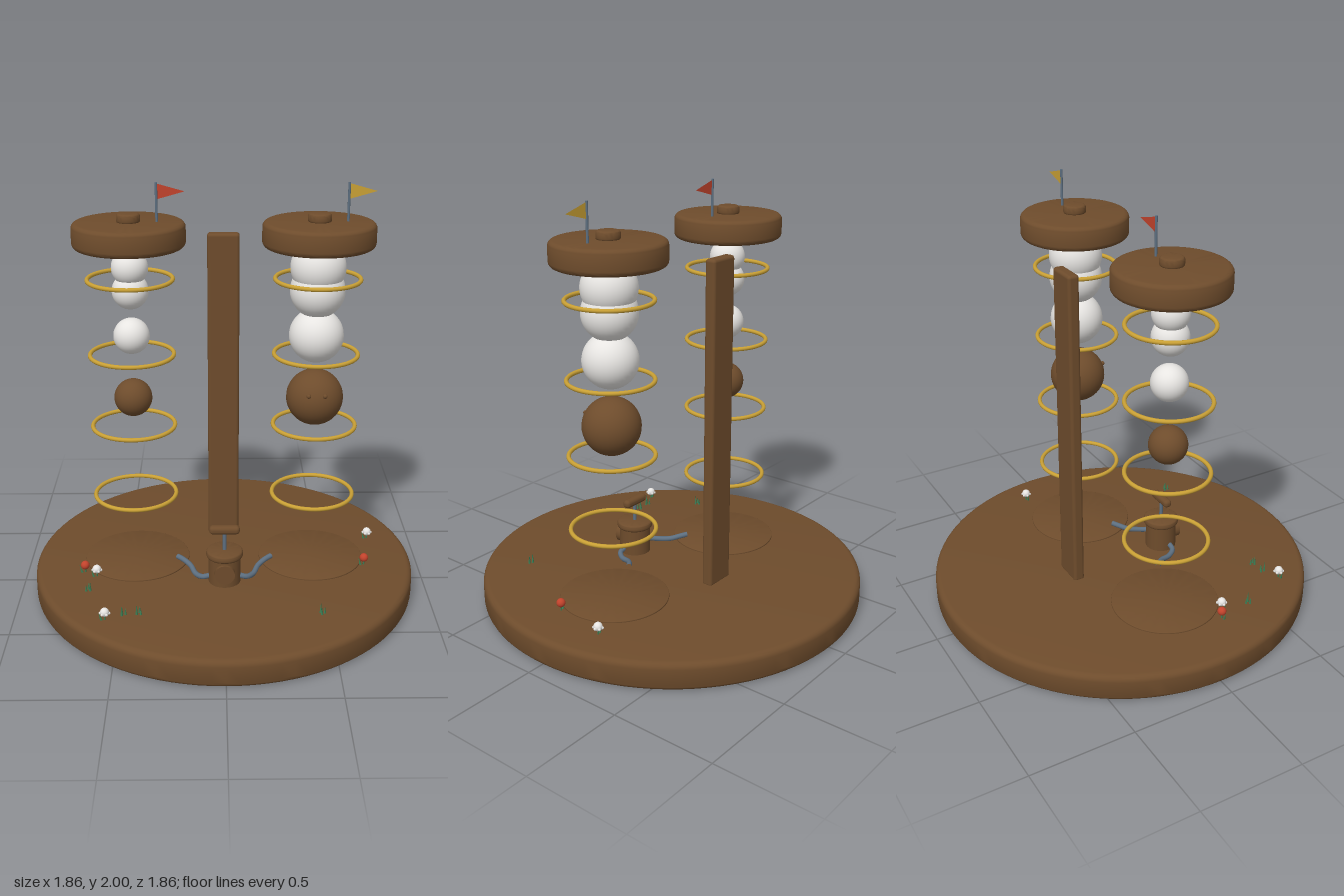
import * as THREE from 'three';
import { toCreasedNormals } from 'three/addons/utils/BufferGeometryUtils.js';
import { RoundedBoxGeometry } from 'three/addons/geometries/RoundedBoxGeometry.js';

const mat = (name, color, side = THREE.FrontSide) => {
  const m = new THREE.MeshStandardMaterial({ color, side });
  m.name = name;
  return m;
};

export function createModel() {
  const wood = mat('brown wood', 0x6e4c2c);
  const white = mat('white', 0xe9e7e4);
  const gold = mat('gold', 0xc9a035);
  const steel = mat('blue grey steel', 0x5d6f80);
  const red = mat('red', 0xc2432c);
  const green = mat('green', 0x3f7f55);
  const redCloth = mat('red cloth', 0xc2432c, THREE.DoubleSide);
  const goldCloth = mat('gold cloth', 0xc9a035, THREE.DoubleSide);

  const root = new THREE.Group();
  const add = (name, geo, material, x, y, z, parent = root) => {
    const mesh = new THREE.Mesh(geo, material);
    mesh.name = name;
    mesh.position.set(x, y, z);
    parent.add(mesh);
    return mesh;
  };
  const group = (name, x = 0, y = 0, z = 0) => {
    const g = new THREE.Group();
    g.name = name;
    g.position.set(x, y, z);
    root.add(g);
    return g;
  };

  // Disc standing on y = 0 with rounded rims
  const disc = (r, h, bevel, segments = 64) => {
    const pts = [new THREE.Vector2(0, 0)];
    for (const [cy, start] of [[bevel, -Math.PI / 2], [h - bevel, 0]]) {
      for (let i = 0; i <= 5; i++) {
        const a = start + (i / 5) * Math.PI / 2;
        pts.push(new THREE.Vector2(r - bevel + Math.cos(a) * bevel, cy + Math.sin(a) * bevel));
      }
    }
    pts.push(new THREE.Vector2(0, h));
    return toCreasedNormals(new THREE.LatheGeometry(pts, segments), 0.6);
  };
  const ball = (r, w = 32, h = 24) => new THREE.SphereGeometry(r, w, h);

  // Round base and back post
  add('base', disc(0.93, 0.135, 0.03, 96), wood, 0, 0, 0);
  add('post', new RoundedBoxGeometry(0.155, 1.59, 0.055, 3, 0.015), wood, 0, 0.92, -0.272);

  // Two towers of rings, balls, cap and flag
  const towers = [
    { name: 'rightTower', x: -0.43, brown: 0.09, pale: 0.085, cloth: redCloth },
    { name: 'leftTower', x: 0.43, brown: 0.135, pale: 0.128, cloth: goldCloth },
  ];
  for (const t of towers) {
    const g = group(t.name, t.x);
    add('footPad', disc(0.257, 0.012, 0.004), wood, 0, 0.13, 0, g);
    for (const y of [0.485, 0.845, 1.2, 1.56]) {
      const ring = new THREE.TorusGeometry(0.196, 0.01, 12, 64).rotateX(Math.PI / 2);
      add('ring', ring, gold, 0, y, 0, g);
    }
    add('brownBall', ball(t.brown), wood, 0, 0.985, 0, g);
    for (const y of [1.29, 1.505, 1.615]) add('whiteBall', ball(t.pale), white, 0, y, 0, g);

    add('cap', disc(0.258, 0.115, 0.025), wood, 0, 1.71, 0, g);
    add('knob', disc(0.054, 0.045, 0.014, 32), wood, 0, 1.818, 0, g);
    add('flagPole', new THREE.CylinderGeometry(0.006, 0.006, 0.18, 10), steel, 0.128, 1.91, 0, g);
    const flag = new THREE.Shape([[0, 0.035], [0, -0.035], [0.125, 0]].map(p => new THREE.Vector2(...p)));
    add('flag', new THREE.ShapeGeometry(flag), t.cloth, 0.13, 1.96, 0, g);
  }

  // Small face on the larger brown ball
  for (const s of [-1, 1]) {
    add('eye', ball(0.011, 12, 8), wood, 0.43 + s * 0.038, 1.03, 0.122);
  }

  // Hand pump
  const pump = group('pump', 0, 0, 0.242);
  add('pumpBody', new THREE.CylinderGeometry(0.077, 0.077, 0.15, 40), wood, 0, 0.205, 0, pump);
  add('pumpRim', disc(0.088, 0.036, 0.013, 40), wood, 0, 0.264, 0, pump);
  add('pumpRod', new THREE.CylinderGeometry(0.009, 0.009, 0.11, 12), steel, 0, 0.345, 0, pump);
  add('pumpHandle', new RoundedBoxGeometry(0.145, 0.042, 0.042, 4, 0.018), wood, 0, 0.404, 0, pump);
  const gauge = new THREE.CylinderGeometry(0.048, 0.048, 0.03, 32).rotateX(Math.PI / 2);
  add('gauge', gauge, wood, 0, 0.208, 0.074, pump);

  // Hoses from the pump towards the towers
  for (const s of [-1, 1]) {
    const path = new THREE.CatmullRomCurve3([
      [0.06, 0.168, 0.25], [0.105, 0.156, 0.248], [0.138, 0.15, 0.21],
      [0.165, 0.16, 0.145], [0.2, 0.172, 0.108], [0.23, 0.178, 0.085],
    ].map(([x, y, z]) => new THREE.Vector3(s * x, y, z)));
    add('hose', new THREE.TubeGeometry(path, 32, 0.013, 10), steel, 0, 0, 0);
  }

  // Grass tufts of three blades
  const tuft = (x, z) => {
    const g = group('grass', x, 0.13, z);
    for (let i = 0; i < 3; i++) {
      const a = i * Math.PI * 2 / 3 + x * 9;
      const blade = new THREE.ConeGeometry(0.007, i ? 0.04 : 0.058, 5);
      add('blade', blade, green, Math.cos(a) * 0.011, i ? 0.02 : 0.029, Math.sin(a) * 0.011, g);
    }
  };
  for (const [x, z] of [[-0.645, 0.335], [-0.465, 0.55], [-0.393, 0.545], [0.443, 0.55]]) tuft(x, z);

  // Flowers with a stem, a leaf and a round head
  const flowers = [
    [0.738, -0.175, white], [0.688, 0.1, red], [-0.677, 0.16, red],
    [-0.617, 0.2, white], [-0.545, 0.59, white],
  ];
  for (const [x, z, m] of flowers) {
    const g = group('flower', x, 0.13, z);
    add('stem', new THREE.CylinderGeometry(0.004, 0.004, 0.04, 6), green, 0, 0.02, 0, g);
    const leaf = add('leaf', new THREE.ConeGeometry(0.007, 0.045, 5), green, -0.02, 0.02, 0.004, g);
    leaf.rotation.z = 0.3;
    add('flowerHead', ball(0.021, 16, 12), m, 0, 0.043, 0, g);
    if (m === white) {
      for (let i = 0; i < 6; i++) {
        const a = i * Math.PI / 3;
        add('petal', ball(0.007, 8, 6), white, Math.cos(a) * 0.02, 0.038, Math.sin(a) * 0.02, g);
      }
    }
  }
  return root;
}
